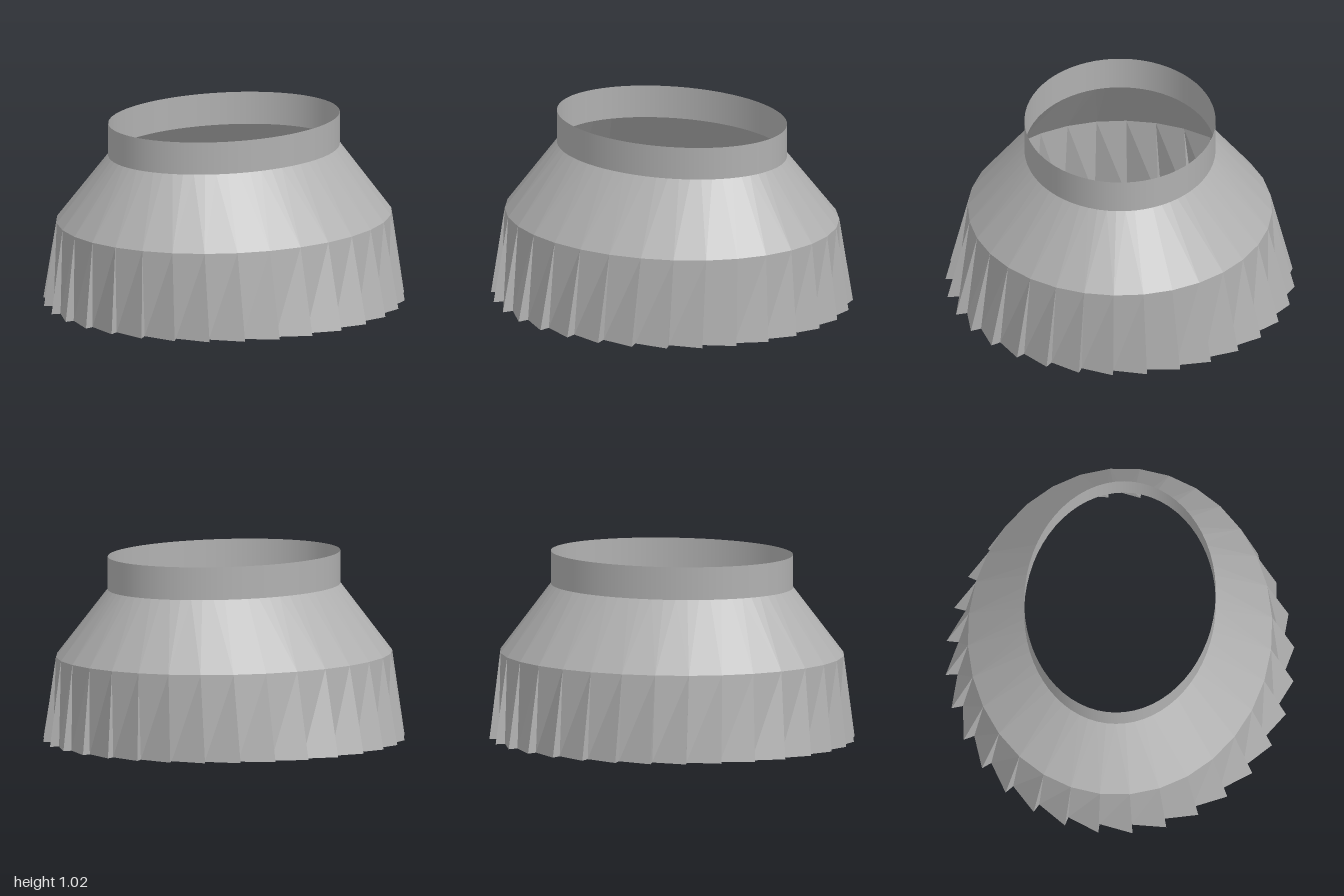
import * as THREE from 'three';

const PETALS = 32;
const PHASE = -0.04;
const STEP = (Math.PI * 2) / PETALS;

// Point on a horizontal ellipse; k counts petals around the ring
function onEllipse(rx, rz, y, k) {
  const a = PHASE + k * STEP;
  return new THREE.Vector3(Math.sin(a) * rx, y, Math.cos(a) * rz);
}

// Flat-shaded geometry from a list of triangle corners
function facets(points) {
  const g = new THREE.BufferGeometry().setFromPoints(points);
  g.computeVertexNormals();
  return g;
}

export function createModel() {
  const group = new THREE.Group();
  const metal = new THREE.MeshStandardMaterial({ color: 0xb0b0b0, side: THREE.DoubleSide });
  metal.name = 'greyMetal';

  function add(name, geometry) {
    const mesh = new THREE.Mesh(geometry, metal);
    mesh.name = name;
    group.add(mesh);
  }

  // Upright oval collar, open at both ends
  const collar = new THREE.CylinderGeometry(1, 1, 0.18, PETALS * 2, 1, true, PHASE);
  collar.scale(0.67, 1, 0.52);
  collar.translate(0, 0.93, 0);
  add('collar', collar);

  const cone = [];
  const petals = [];
  const walls = [];
  for (let k = 0; k < PETALS; k++) {
    // Faceted shoulder between the collar and the petals
    const topA = onEllipse(0.67, 0.52, 0.84, k);
    const topM = onEllipse(0.67, 0.52, 0.84, k + 0.5);
    const topB = onEllipse(0.67, 0.52, 0.84, k + 1);
    const midA = onEllipse(0.946, 0.828, 0.47, k);
    const midB = onEllipse(0.946, 0.828, 0.47, k + 1);
    cone.push(midA, topM, topA, midA, midB, topM, midB, topB, topM);

    // Petal flares from the inner line out to its tip
    const inner = onEllipse(0.95, 0.885, 0, k);
    const tip = onEllipse(1, 0.95, 0, k + 1);
    petals.push(inner, tip, midB, inner, midB, midA);

    // Narrow wall stepping back from the tip to the next petal
    const next = onEllipse(0.95, 0.885, 0, k + 1);
    walls.push(tip, next, midB);
  }
  add('shoulder', facets(cone));
  add('petals', facets(petals));
  add('petalSteps', facets(walls));

  return group;
}
